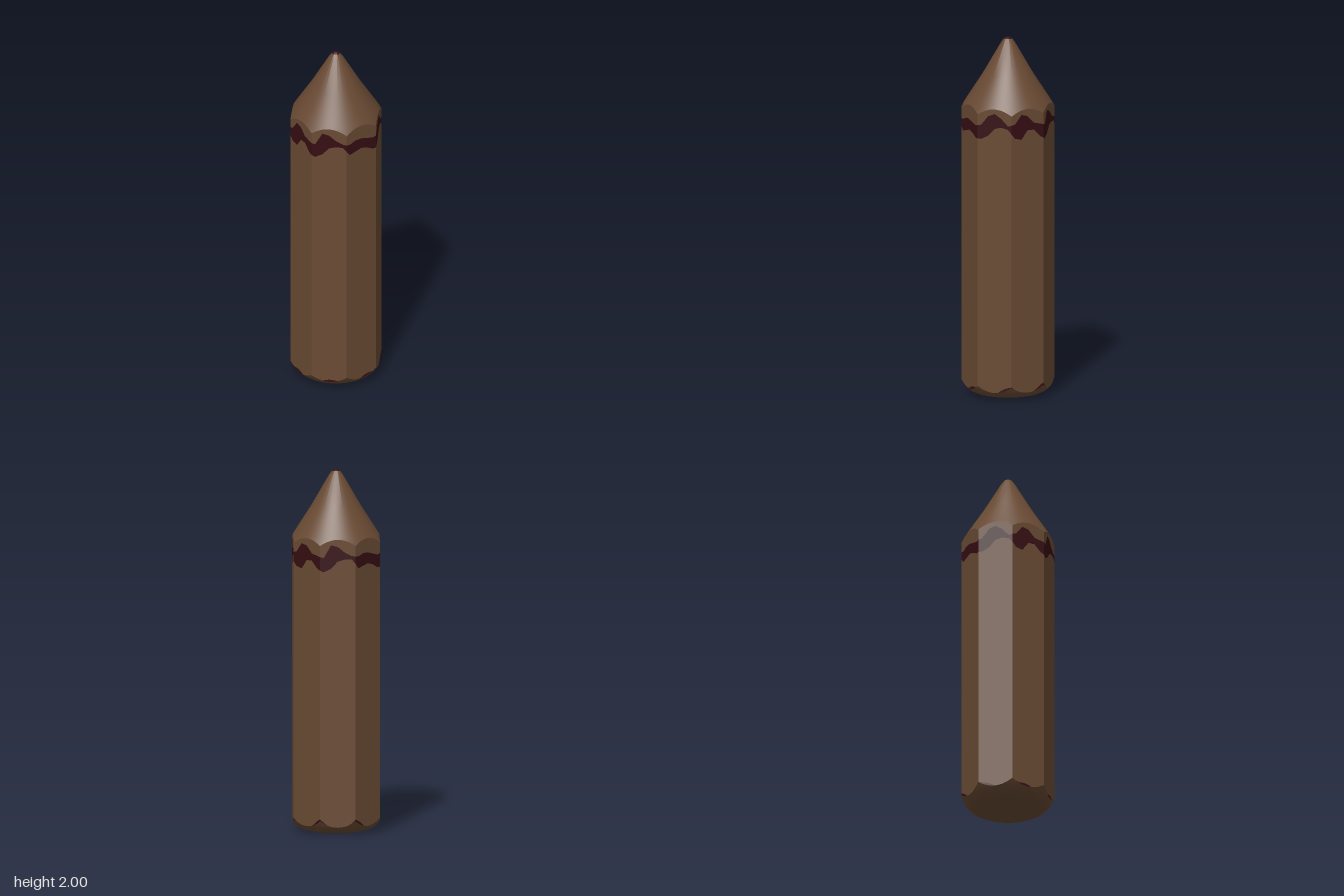
import * as THREE from 'three';
import { toCreasedNormals } from 'three/addons/utils/BufferGeometryUtils.js';

const SEGMENTS = 80;
const APOTHEM = 0.237;

// Heights of the painted band's edges, every 9 degrees over half a turn
const BAND_TOP = [1.60, 1.56, 1.55, 1.54, 1.61, 1.60, 1.57, 1.55, 1.545, 1.56,
  1.56, 1.55, 1.54, 1.55, 1.60, 1.615, 1.59, 1.55, 1.56, 1.61];
const BAND_LOW = [1.52, 1.52, 1.48, 1.46, 1.48, 1.52, 1.53, 1.53, 1.48, 1.49,
  1.50, 1.49, 1.47, 1.47, 1.49, 1.53, 1.54, 1.53, 1.48, 1.47];

// Turned profiles [radius, height] that cut the octagonal shaft at both ends
const POINT = [[0, 2], [0.012, 1.998], [0.022, 1.99], [0.04, 1.965], [0.135, 1.8], [0.237, 1.64], [0.26, 1.6]];
const FOOT = [[0, 0], [0.15, 0.002], [0.19, 0.012], [0.215, 0.024], [0.237, 0.045], [0.26, 0.085]];

function profileHeight(profile, r) {
  let k = 1;
  while (k < profile.length - 1 && profile[k][0] < r) k++;
  const [r0, y0] = profile[k - 1], [r1, y1] = profile[k];
  return y0 + (y1 - y0) * (r - r0) / (r1 - r0);
}

function sample(table, angle) {
  const u = (((angle + Math.PI / 4) / (Math.PI / 20)) % 20 + 20) % 20;
  const i = Math.floor(u + 1e-6) % 20, f = Math.max(0, u - Math.floor(u + 1e-6));
  return THREE.MathUtils.lerp(table[i], table[(i + 1) % 20], f);
}

// Radius of the octagon, with a flat facing the front
function octagon(angle) {
  const step = Math.PI / 4;
  return APOTHEM / Math.cos(angle - Math.round(angle / step) * step);
}

// Surface through closed rows ordered upward; each row gives [radius, height] by angle
function skin(name, material, rows) {
  const positions = [], index = [];
  const n = SEGMENTS + 1;
  rows.forEach((row, j) => {
    for (let i = 0; i <= SEGMENTS; i++) {
      const a = (i % SEGMENTS) / SEGMENTS * Math.PI * 2;
      const [r, y] = row(a);
      positions.push(r * Math.sin(a), y, r * Math.cos(a));
      if (j > 0 && i < SEGMENTS) {
        const p = (j - 1) * n + i, q = j * n + i;
        index.push(p, p + 1, q + 1, p, q + 1, q);
      }
    }
  });
  const geometry = new THREE.BufferGeometry();
  geometry.setAttribute('position', new THREE.Float32BufferAttribute(positions, 3));
  geometry.setIndex(index);
  const mesh = new THREE.Mesh(toCreasedNormals(geometry, 0.55), material);
  mesh.name = name;
  return mesh;
}

export function createModel() {
  const wood = new THREE.MeshStandardMaterial({ color: 0x694a33 });
  wood.name = 'brown wood';
  const paint = new THREE.MeshStandardMaterial({ color: 0x360d12 });
  paint.name = 'dark red paint';

  const group = new THREE.Group();
  group.name = 'sharpenedPost';

  // Shaft edges, from bottom to top
  const onShaft = height => a => [octagon(a), height(a)];
  const bottom = a => profileHeight(FOOT, octagon(a));
  const scuff = a => bottom(a) + 0.022 * Math.max(0, Math.sin(7 * a + 1.4) - 0.35);
  const top = a => profileHeight(POINT, octagon(a));
  const bandLow = a => sample(BAND_LOW, a);
  const bandTop = a => Math.min(sample(BAND_TOP, a), top(a));

  // Profile rings of the two cut ends
  const ring = ([r, y]) => () => [r, y];
  const shoulder = onShaft(top);
  const rim = onShaft(bottom);
  // Ring where the cut ends first meet the flats
  const nearRing = (profile, t) => a => {
    const r = THREE.MathUtils.lerp(0.215, octagon(a), t);
    return [r, profileHeight(profile, r)];
  };

  group.add(
    skin('roundedFoot', wood, [...FOOT.slice(0, 4).map(ring), nearRing(FOOT, 0.5), rim]),
    skin('footScuffs', paint, [rim, onShaft(scuff)]),
    skin('shaft', wood, [onShaft(scuff), onShaft(bandLow)]),
    skin('paintedBand', paint, [onShaft(bandLow), onShaft(bandTop)]),
    skin('shaftTop', wood, [onShaft(bandTop), shoulder]),
    skin('point', wood, [shoulder, nearRing(POINT, 0.5), ...[4, 3, 2].map(k => ring(POINT[k]))]),
    skin('paintedTip', paint, [2, 1, 0].map(k => ring(POINT[k])))
  );
  return group;
}
